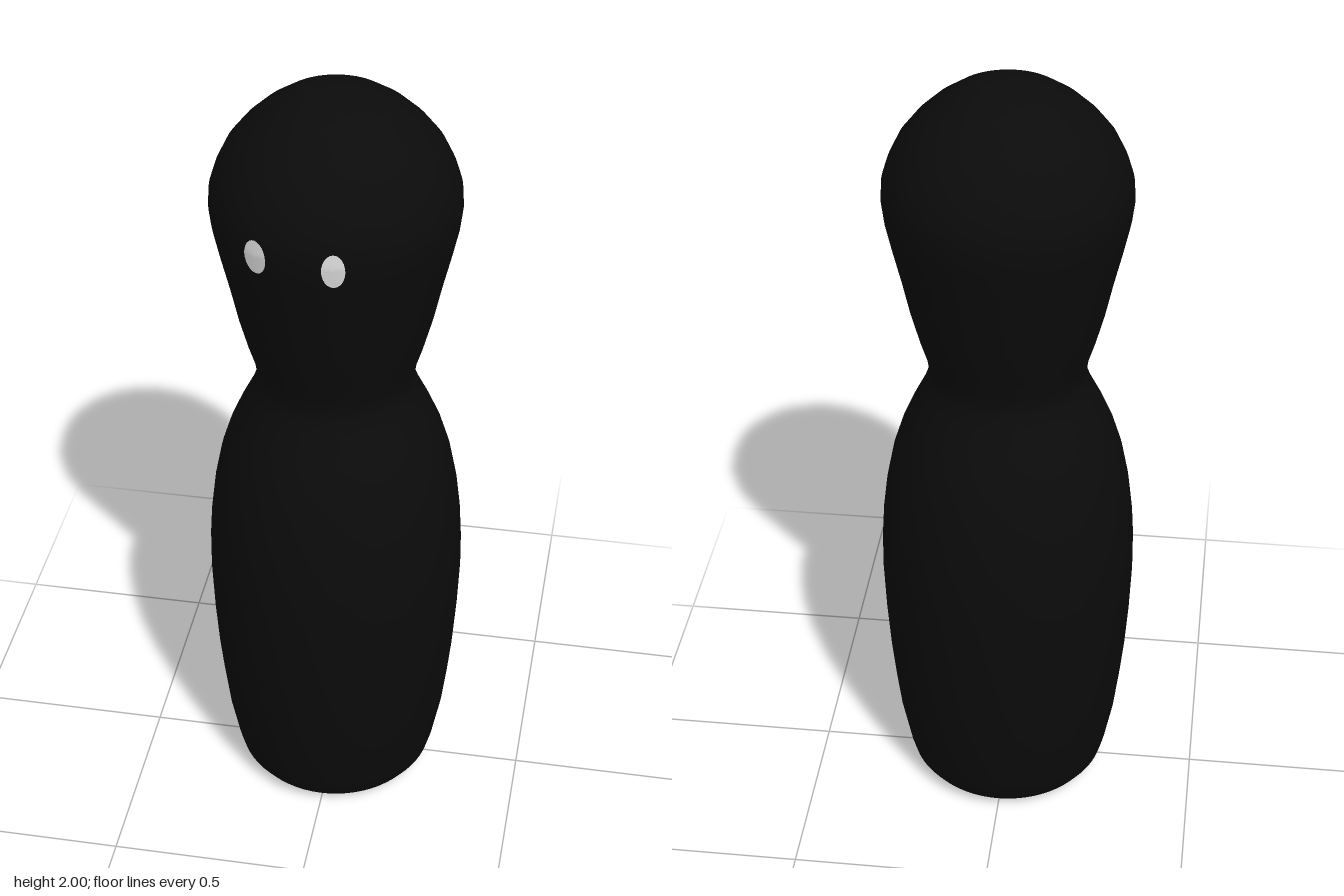
import * as THREE from 'three';

// Body outline as [radius, height], from the base up
const PROFILE = [
  [0, 0], [0.16, 0], [0.205, 0.008], [0.238, 0.025], [0.256, 0.05], [0.267, 0.09],
  [0.288, 0.2], [0.3, 0.3], [0.31, 0.4], [0.318, 0.52], [0.323, 0.65], [0.322, 0.74],
  [0.317, 0.82], [0.306, 0.91], [0.288, 1.0], [0.266, 1.07], [0.24, 1.13], [0.21, 1.19],
  [0.197, 1.225], [0.194, 1.25], [0.199, 1.285], [0.216, 1.34], [0.237, 1.42],
  [0.256, 1.51], [0.277, 1.6], [0.292, 1.67], [0.298, 1.72], [0.295, 1.765],
  [0.281, 1.81], [0.257, 1.86], [0.222, 1.905], [0.18, 1.945], [0.13, 1.98],
  [0.09, 1.997], [0.06, 2], [0, 2],
];

// Surface radius at height y
function radiusAt(y) {
  const i = PROFILE.findIndex((p) => p[1] >= y);
  const [r0, y0] = PROFILE[i - 1];
  const [r1, y1] = PROFILE[i];
  return r0 + ((r1 - r0) * (y - y0)) / (y1 - y0);
}

// Thin oval wrapped onto the front of the head
function makeEye(name, cx, cy, material) {
  const geo = new THREE.RingGeometry(0.0001, 1, 24, 4);
  const pos = geo.attributes.position;
  for (let i = 0; i < pos.count; i++) {
    const x = cx + pos.getX(i) * 0.027;
    const y = cy + pos.getY(i) * 0.044;
    const r = radiusAt(y) + 0.003;
    pos.setXYZ(i, x, y, Math.sqrt(r * r - x * x));
  }
  geo.computeVertexNormals();
  const eye = new THREE.Mesh(geo, material);
  eye.name = name;
  return eye;
}

export function createModel() {
  const black = new THREE.MeshStandardMaterial({ color: 0x0b0b0b });
  black.name = 'black';
  const white = new THREE.MeshStandardMaterial({ color: 0xdddddd });
  white.name = 'eye white';

  const model = new THREE.Group();
  model.name = 'pinFigure';

  // Turned body and head in one piece
  const points = PROFILE.map(([r, y]) => new THREE.Vector2(r, y));
  const body = new THREE.Mesh(new THREE.LatheGeometry(points, 64), black);
  body.name = 'body';
  model.add(body);

  // Eyes, set slightly towards the model's right
  model.add(makeEye('rightEye', -0.14, 1.712, white));
  model.add(makeEye('leftEye', 0.045, 1.712, white));

  return model;
}
